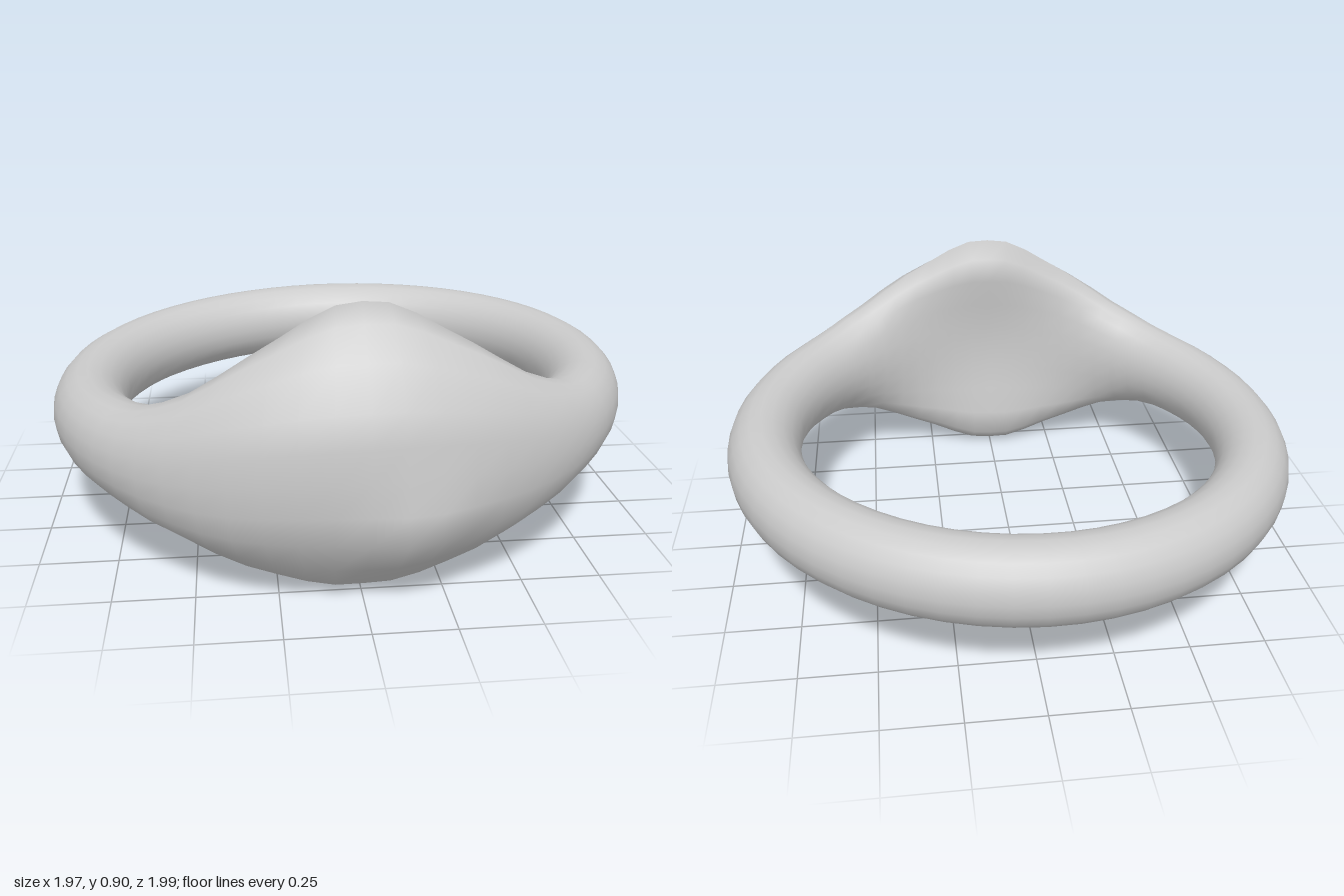
import * as THREE from 'three';

// Upper half of the flared front's cross-section: [distance from axis, relative height]
const HEAD = [
  [0.97, 0], [0.965, 0.22], [0.945, 0.43], [0.87, 0.7], [0.795, 0.9],
  [0.72, 1], [0.65, 0.87], [0.655, 0.66], [0.675, 0.42], [0.685, 0.2], [0.69, 0],
];
// Half height of the band: [degrees from the front, half height]
const HEIGHT = [
  [0, 0.449], [8, 0.442], [24, 0.33], [38, 0.215], [50, 0.16], [70, 0.14], [90, 0.134], [180, 0.139],
];
const STATIONS = 60;
const HALF = HEAD.length - 1;
const SIDES = HALF * 2;

function halfHeight(deg) {
  const k = Math.max(1, HEIGHT.findIndex(([d]) => d >= deg - 1e-6));
  const [d0, h0] = HEIGHT[k - 1];
  const [d1, h1] = HEIGHT[k];
  return THREE.MathUtils.mapLinear(deg, d0, d1, h0, h1);
}

// Closed loop lofted around the vertical axis, round at the back and flared at the front
function bandGeometry() {
  const positions = [];
  const index = [];
  for (let s = 0; s < STATIONS; s++) {
    const a = (s / STATIONS) * Math.PI * 2;
    const signed = a > Math.PI ? a - Math.PI * 2 : a;
    const deg = THREE.MathUtils.radToDeg(Math.abs(signed));
    const flare = 1 - THREE.MathUtils.smoothstep(deg, 0, 48);
    const h = halfHeight(deg);
    const centreY = 0.405 + 0.025 * Math.sin(a) + 0.044 * flare;
    const centreR = 0.862 + 0.013 * Math.max(0, -Math.cos(a));

    for (let i = 0; i < SIDES; i++) {
      const lower = i > HALF;
      const [headR, headV] = HEAD[lower ? SIDES - i : i];
      const t = (i / SIDES) * Math.PI * 2;
      const v = THREE.MathUtils.lerp(Math.sin(t), lower ? -headV : headV, flare);
      let r = THREE.MathUtils.lerp(centreR + 0.125 * Math.cos(t), headR, flare);
      // soft off-centre bulge low on the front face
      if (Math.cos(t) > 0) {
        r += 0.05 * Math.exp(-(((signed - 0.14) / 0.16) ** 2) - ((v + 0.42) / 0.25) ** 2);
      }
      positions.push(r * Math.sin(a), centreY + h * v, r * Math.cos(a));

      const next = ((s + 1) % STATIONS) * SIDES;
      const j = (i + 1) % SIDES;
      const p = s * SIDES;
      index.push(p + i, next + i, next + j, p + i, next + j, p + j);
    }
  }
  const geometry = new THREE.BufferGeometry();
  geometry.setAttribute('position', new THREE.Float32BufferAttribute(positions, 3));
  geometry.setIndex(index);
  geometry.computeVertexNormals();
  return geometry;
}

export function createModel() {
  const group = new THREE.Group();
  group.name = 'signetRing';
  const band = new THREE.Mesh(bandGeometry(), new THREE.MeshStandardMaterial({ color: 0xcccccc }));
  band.name = 'flaredBand';
  group.add(band);
  return group;
}
